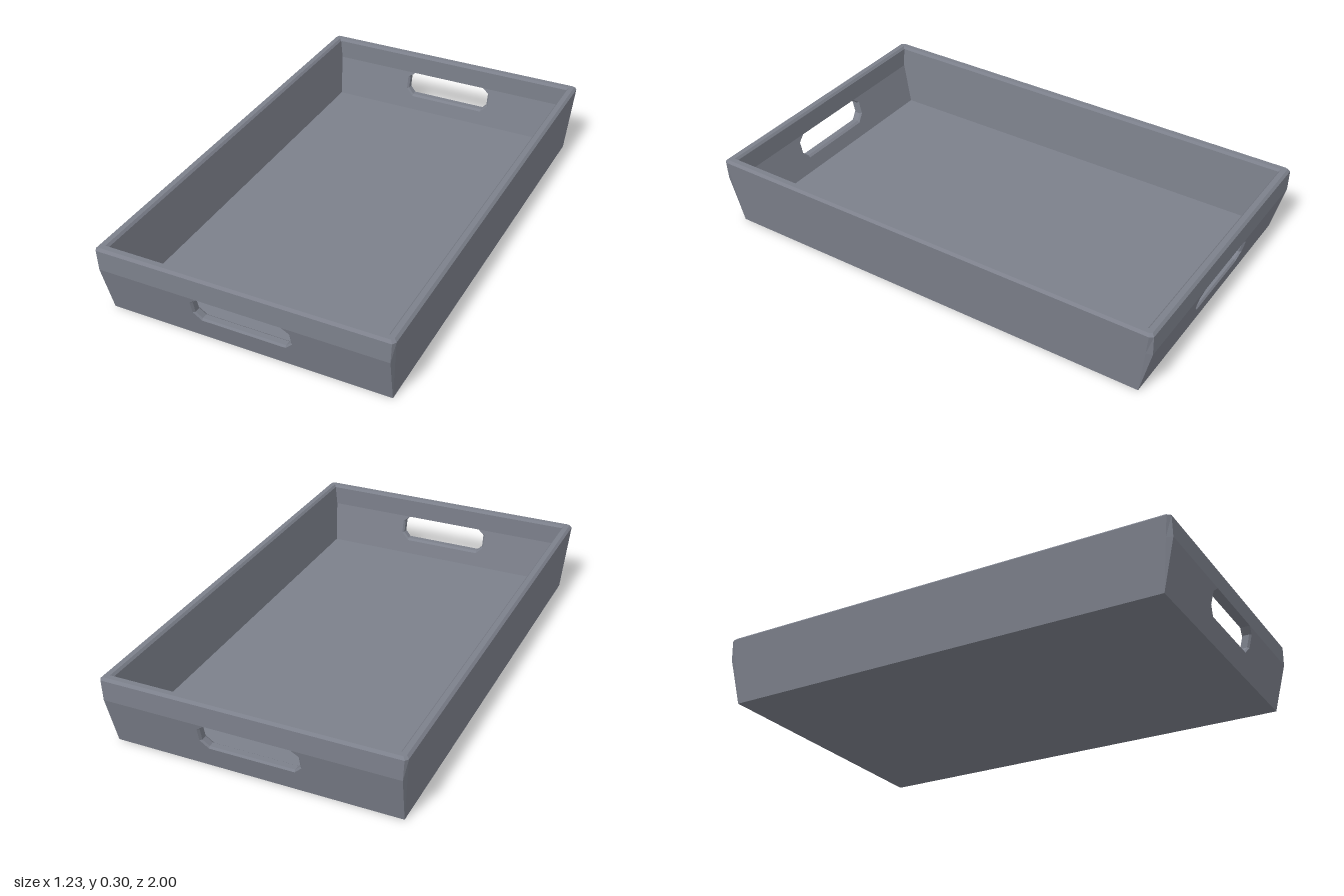
import * as THREE from 'three';

const KNEE = 0.205;   // height where the end walls turn upright, also the top of the handle holes
const FLOOR = 0.03;
const WALL = 0.04;
const halfX = y => 0.59 + 0.025 * y / 0.29;
const halfZ = y => 0.95 + 0.05 * Math.min(y, KNEE) / KNEE;

// Flat-shaded geometry from a list of triangles
function fromTriangles(tris) {
  const geo = new THREE.BufferGeometry().setFromPoints(tris.flat());
  geo.computeVertexNormals();
  return geo;
}

function addQuad(tris, a, b, c, d) {
  for (const [p, q, r] of [[a, b, c], [a, c, d]]) {
    if (new THREE.Triangle(p, q, r).getArea() > 1e-8) tris.push([p, q, r]);
  }
}

// Rectangle with cut corners, counterclockwise from above, starting with the front edge
function ring(hx, hz, cx, cz, y) {
  const x = hx - cx, z = hz - cz;
  return [[-x, hz], [x, hz], [hx, z], [hx, -z], [x, -hz], [-x, -hz], [-hx, -z], [-hx, z]]
    .map(([px, pz]) => new THREE.Vector3(px, y, pz));
}

function outerRing(y) {
  return ring(halfX(y), halfZ(y), 0.01 * y / 0.29, halfZ(y) - (0.95 + 0.035 * y / 0.29), y);
}
const innerRing = y => ring(halfX(y) - WALL, halfZ(y) - WALL, 0, 0, y);

// Lofts rings; the end faces can be left out where a handle panel goes
function loft(rings, openEnds = false) {
  const tris = [];
  for (let k = 0; k + 1 < rings.length; k++) {
    for (let i = 0; i < 8; i++) {
      if (openEnds && i % 4 === 0) continue;
      const j = (i + 1) % 8;
      addQuad(tris, rings[k][i], rings[k][j], rings[k + 1][j], rings[k + 1][i]);
    }
  }
  return fromTriangles(tris);
}

function cap(points, flip) {
  const tris = [];
  for (let i = 1; i < 7; i++) {
    const t = [points[0], points[i], points[i + 1]];
    if (new THREE.Triangle(...t).getArea() > 1e-8) tris.push(flip ? t.reverse() : t);
  }
  return fromTriangles(tris);
}

// Chamfered handle outline, from its top right corner round to its top left
function handleOutline(grow) {
  const right = [[0.175, KNEE], [0.2 + grow, 0.18], [0.2 + grow, 0.125], [0.175, 0.1 - grow]];
  return [...right, ...right.slice().reverse().map(([x, y]) => [-x, y])];
}

// Face of an end wall around the handle hole
function panel(y0, x0, x1, inset, flip) {
  const pts = [[-x0, y0], [x0, y0], [x1, KNEE], ...handleOutline(0.008), [-x1, KNEE]];
  const faces = THREE.ShapeUtils.triangulateShape(pts.map(p => new THREE.Vector2(...p)), []);
  const corners = pts.map(([x, y]) => new THREE.Vector3(x, y, halfZ(y) - inset));
  return fromTriangles(faces.map(f => {
    const t = f.map(i => corners[i]);
    return flip ? t.reverse() : t;
  }));
}

// Bevelled inside of the handle hole
function handleLining() {
  const loops = [[0.008, 0], [0, 0.008], [0, WALL - 0.008], [0.008, WALL]].map(([grow, inset]) =>
    handleOutline(grow).map(([x, y]) => new THREE.Vector3(x, y, halfZ(y) - inset)));
  const tris = [];
  for (let k = 0; k < 3; k++) {
    for (let i = 0; i < 8; i++) {
      const j = (i + 1) % 8;
      addQuad(tris, loops[k][i], loops[k + 1][i], loops[k + 1][j], loops[k][j]);
    }
  }
  return fromTriangles(tris);
}

export function createModel() {
  const model = new THREE.Group();
  model.name = 'tray';
  const grey = new THREE.MeshStandardMaterial({ color: 0x7c808b });
  grey.name = 'slate grey';
  const add = (parent, name, geo) => {
    const mesh = new THREE.Mesh(geo, grey);
    mesh.name = name;
    parent.add(mesh);
  };

  // Floor and side walls
  const base = outerRing(0), floor = innerRing(FLOOR);
  add(model, 'underside', cap(base, true));
  add(model, 'floor', cap(floor, false));
  add(model, 'outerSideWalls', loft([base, outerRing(KNEE)], true));
  add(model, 'innerSideWalls', loft([innerRing(KNEE), floor], true));

  // Upper band and bevelled rim
  add(model, 'rim', loft([
    outerRing(KNEE),
    outerRing(0.29),
    ring(0.605, 0.99, 0.008, 0.012, 0.3),
    ring(0.583, 0.968, 0, 0, 0.3),
    innerRing(0.29),
    innerRing(KNEE),
  ]));

  // End walls with handle holes, front and back
  for (const [name, turn] of [['frontEnd', 0], ['backEnd', Math.PI]]) {
    const end = new THREE.Group();
    end.name = name;
    end.rotation.y = turn;
    add(end, 'outerPanel', panel(0, base[1].x, outerRing(KNEE)[1].x, 0, false));
    add(end, 'innerPanel', panel(FLOOR, floor[1].x, innerRing(KNEE)[1].x, WALL, true));
    add(end, 'handleHole', handleLining());
    model.add(end);
  }
  return model;
}
